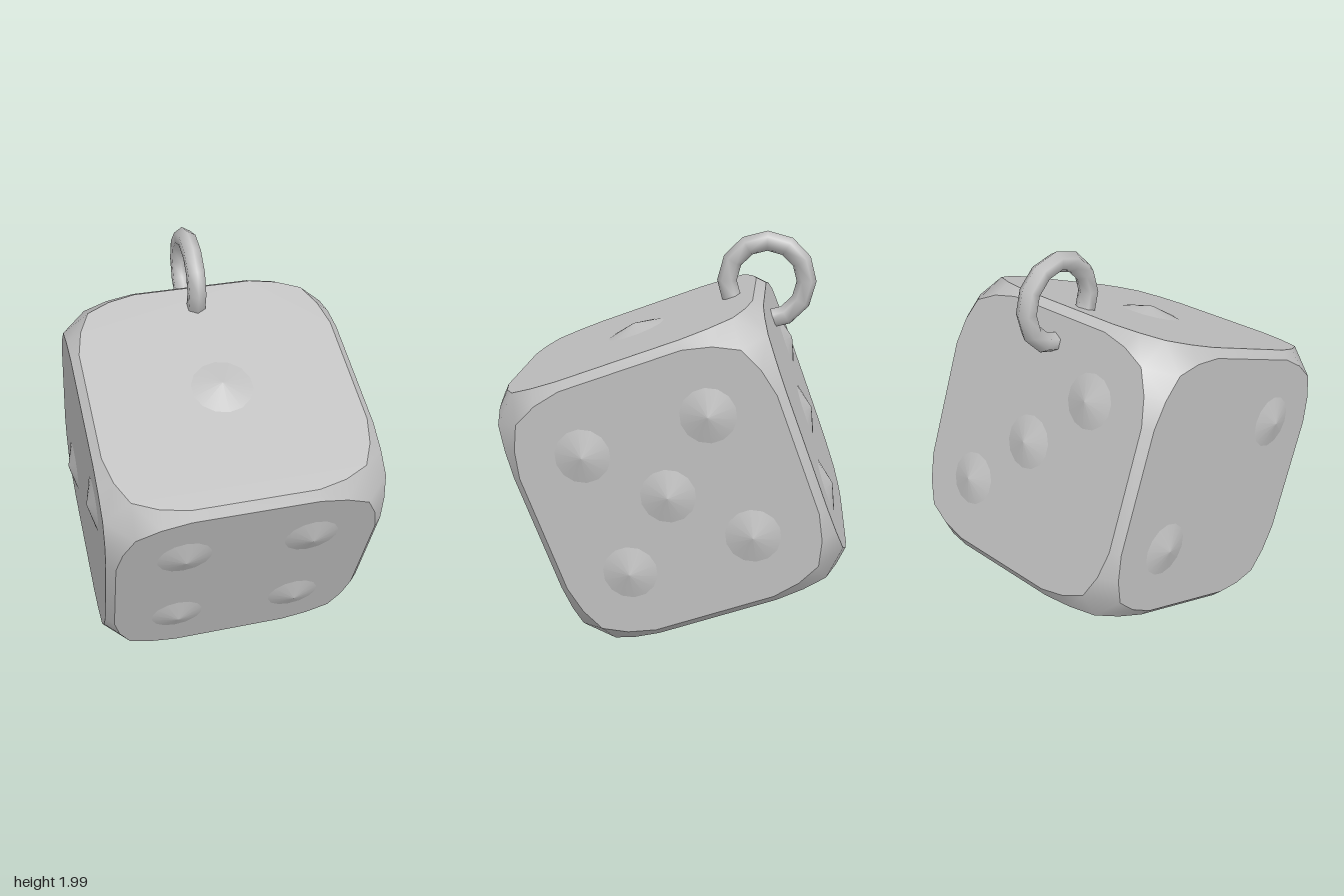
import * as THREE from 'three';
import { toCreasedNormals } from 'three/addons/utils/BufferGeometryUtils.js';
import { ConvexGeometry } from 'three/addons/geometries/ConvexGeometry.js';

const HALF = 0.675;   // half the cube's width
const S = 0.31;       // pip spacing
const UP = new THREE.Vector3(0, 1, 0);

// Rounded cube: hull of six rounded-square faces
function bodyGeometry() {
  const corner = [[0.3, 0.635], [0.435, 0.605], [0.55, 0.55], [0.605, 0.435], [0.635, 0.3]];
  const points = [];
  for (const [a, b] of corner)
    for (const sa of [-1, 1]) for (const sb of [-1, 1]) for (const sh of [-1, 1]) {
      const p = [a * sa, b * sb, HALF * sh];
      for (let k = 0; k < 3; k++)
        points.push(new THREE.Vector3(p[k], p[(k + 1) % 3], p[(k + 2) % 3]));
    }
  return toCreasedNormals(new ConvexGeometry(points), THREE.MathUtils.degToRad(40));
}

export function createModel() {
  const grey = new THREE.MeshStandardMaterial({ color: 0xc0c0c0 });
  grey.name = 'grey';
  const model = new THREE.Group();
  model.name = 'hangingDie';

  // Die, tipped forward
  const die = new THREE.Group();
  die.name = 'die';
  die.position.y = 0.862;
  die.rotation.x = THREE.MathUtils.degToRad(20.3);
  model.add(die);

  const body = new THREE.Mesh(bodyGeometry(), grey);
  body.name = 'body';
  die.add(body);

  // Raised pips: face name, outward normal, pip centres on the face
  const faces = [
    ['top', [0, 1, 0], [[0, 0, 0]]],
    ['left', [1, 0, 0], [[0, 0, 0], [0, S, S], [0, S, -S], [0, -S, S], [0, -S, -S]]],
    ['right', [-1, 0, 0], [[0, S, S], [0, -S, -S]]],
    ['front', [0, 0, 1], [[S, S, 0], [-S, S, 0], [S, -S, 0], [-S, -S, 0]]],
    ['back', [0, 0, -1], [[-S, S, 0], [0, 0, 0], [S, -S, 0]]],
    ['bottom', [0, -1, 0], [-S, 0, S].flatMap(z => [[-S, 0, z], [S, 0, z]])],
  ];
  const height = 0.034;
  for (const [name, n, centres] of faces) {
    const normal = new THREE.Vector3(...n);
    const radius = centres.length === 1 ? 0.15 : 0.132;
    const geometry = new THREE.ConeGeometry(radius, height, 14, 1, true);
    for (const c of centres) {
      const pip = new THREE.Mesh(geometry, grey);
      pip.name = name + 'Pip';
      pip.position.set(...c).addScaledVector(normal, HALF + height / 2);
      pip.quaternion.setFromUnitVectors(UP, normal);
      die.add(pip);
    }
  }

  // Hanging ring through the upper back edge
  const ring = new THREE.Mesh(new THREE.TorusGeometry(0.197, 0.049, 6, 12), grey);
  ring.name = 'ring';
  ring.position.set(-0.01, 1.754, -0.42);
  ring.rotation.y = Math.PI / 2;
  model.add(ring);

  return model;
}
